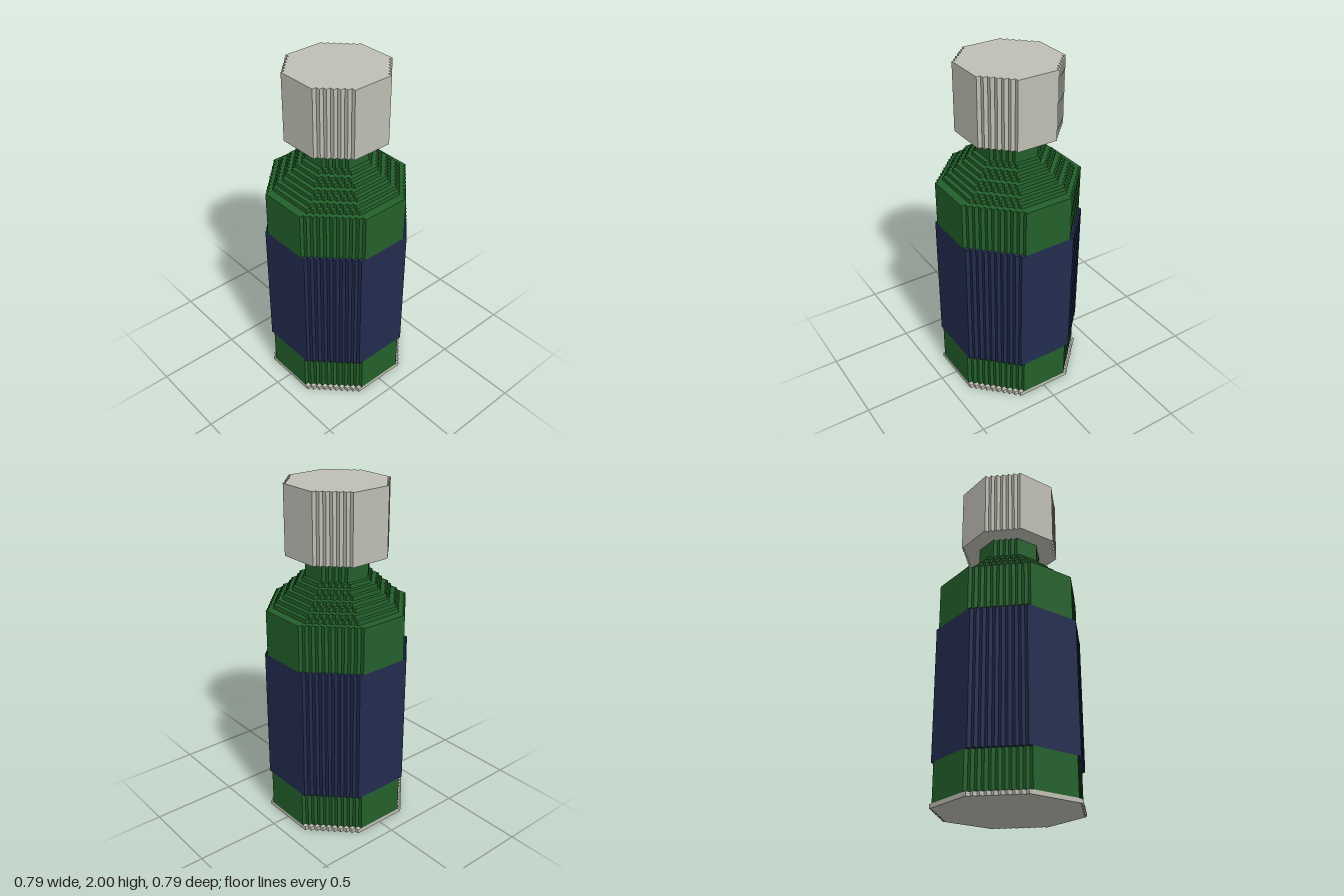
import * as THREE from 'three';

// Everything sits on a cubic grid, 81 cells tall
const U = 2 / 81;

// Stair-stepped octagon: r = half width, f = half length of the flat side (in cells)
function steppedOctagon(r, f) {
  const quarter = [];
  for (let i = 0; i <= r - f; i++) {
    quarter.push([r - i, f + i]);
    if (i < r - f) quarter.push([r - i - 1, f + i]);
  }
  const points = [];
  for (let q = 0; q < 4; q++) {
    for (const [a, b] of quarter) {
      const [x, y] = [[a, b], [-b, a], [-a, -b], [b, -a]][q];
      points.push(new THREE.Vector2(x * U, y * U));
    }
  }
  return new THREE.Shape(points);
}

// Upright stepped prism between two grid heights
function prism(name, material, r, f, y0, y1) {
  const geometry = new THREE.ExtrudeGeometry(steppedOctagon(r, f), {
    depth: (y1 - y0) * U, bevelEnabled: false,
  });
  geometry.rotateX(-Math.PI / 2);
  geometry.translate(0, y0 * U, 0);
  const mesh = new THREE.Mesh(geometry, material);
  mesh.name = name;
  return mesh;
}

export function createModel() {
  const green = new THREE.MeshStandardMaterial({ name: 'green glass', color: 0x23602b });
  const navy = new THREE.MeshStandardMaterial({ name: 'navy label', color: 0x222c4f });
  const grey = new THREE.MeshStandardMaterial({ name: 'pale grey', color: 0xbfbeb4 });

  const bottle = new THREE.Group();
  bottle.name = 'bottle';

  // Base, body and wrap-around label
  bottle.add(
    prism('base', grey, 16, 7, 0, 1),
    prism('lowerBody', green, 16, 6, 1, 10),
    prism('label', navy, 16, 7, 10, 42),
    prism('upperBody', green, 16, 6, 42, 53),
  );

  // Shoulder narrows by one cell per layer
  const shoulder = new THREE.Group();
  shoulder.name = 'shoulder';
  [6, 6, 5, 5, 4, 4, 3].forEach((flat, i) => {
    shoulder.add(prism('shoulderStep' + (i + 1), green, 14 - i, flat, 53 + i, 54 + i));
  });
  bottle.add(shoulder);

  // Neck and cap
  bottle.add(
    prism('neck', green, 7, 3, 60, 65),
    prism('cap', grey, 11, 5, 65, 81),
  );
  return bottle;
}
